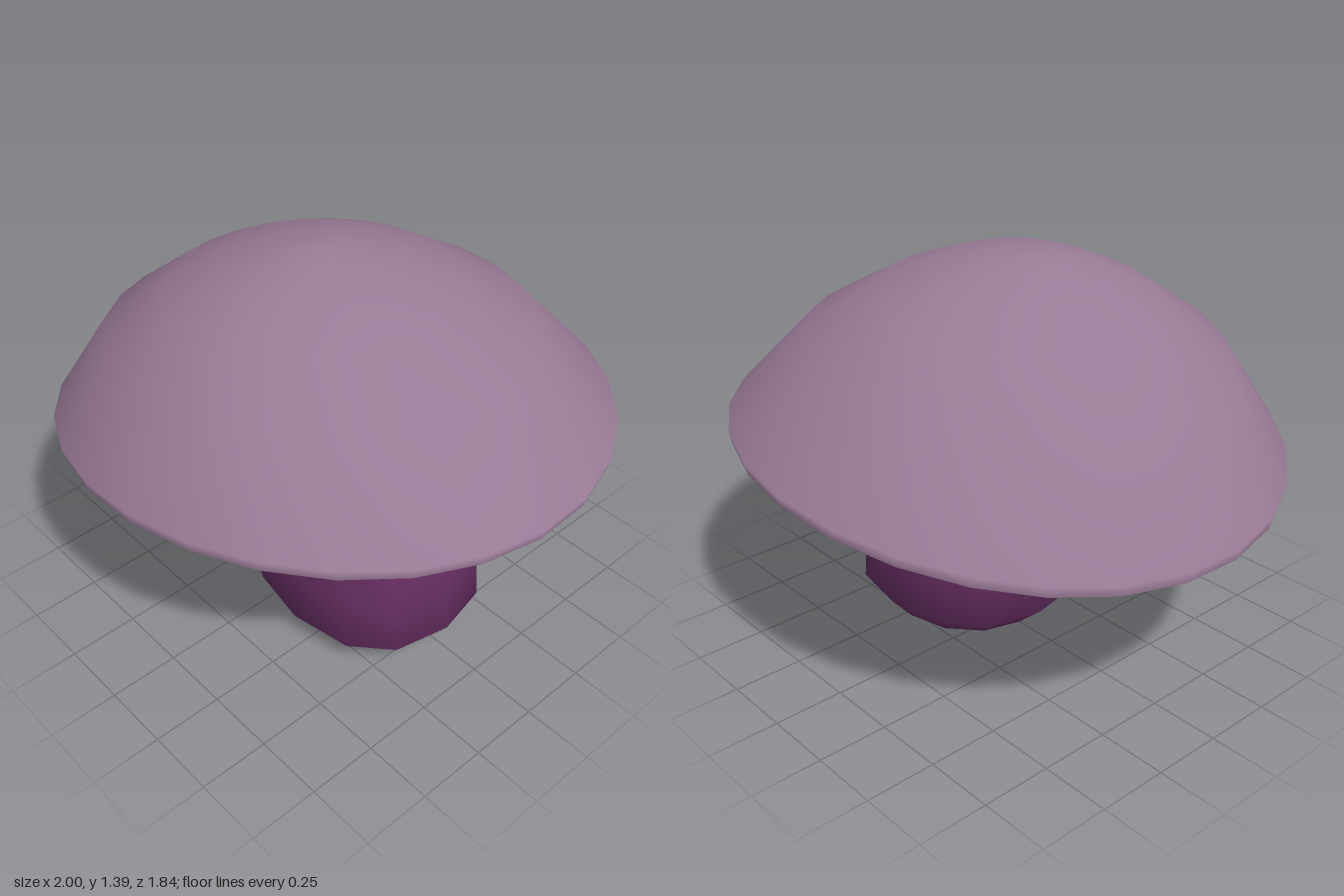
import * as THREE from 'three';

const capMaterial = new THREE.MeshStandardMaterial({ color: 0x9a7b97 });
capMaterial.name = 'dusty mauve';
const stemMaterial = new THREE.MeshStandardMaterial({ color: 0x642d60 });
stemMaterial.name = 'deep purple';

// Skins a stack of rings, listed from bottom to top on the outside; place(ring, angle) gives a point.
function loft(rings, sides, place, flat = false) {
  const points = [], index = [];
  for (const ring of rings)
    for (let i = 0; i < sides; i++) points.push(...place(ring, (i / sides) * Math.PI * 2));
  for (let r = 0; r < rings.length - 1; r++)
    for (let i = 0; i < sides; i++) {
      const a = r * sides + i, b = r * sides + (i + 1) % sides;
      index.push(a, a + sides, b, b, a + sides, b + sides);
    }
  let geometry = new THREE.BufferGeometry();
  geometry.setAttribute('position', new THREE.Float32BufferAttribute(points, 3));
  geometry.setIndex(index);
  if (flat) geometry = geometry.toNonIndexed();
  geometry.computeVertexNormals();
  return geometry;
}

// Cap rings [radius, height], leaned to one side and drooping along x
function capPoint([radius, height], angle) {
  const x = Math.sin(angle) * radius, z = -Math.cos(angle) * radius * 0.925;
  const rise = Math.max(0, height - 0.83);
  return [x - 0.11 * rise, height + 0.1 * x - 0.06 * x * x + 0.028 * z, z + 0.09 * rise];
}

// Stem rings [height, left edge, right edge, half depth, roundness]; lower roundness is squarer
function stemPoint([height, x0, x1, depth, roundness = 1], angle) {
  const soften = (v) => Math.sign(v) * Math.abs(v) ** roundness;
  return [(x0 + x1) / 2 + soften(Math.sin(angle)) * (x1 - x0) / 2, height, -soften(Math.cos(angle)) * depth];
}

export function createModel() {
  const model = new THREE.Group();
  model.name = 'mushroom';
  const add = (name, geometry, material) => {
    const mesh = new THREE.Mesh(geometry, material);
    mesh.name = name;
    model.add(mesh);
  };

  // Smooth dome with its narrow outer edge
  const dome = [[0.991, 0.79], [1, 0.83], [0.755, 1.112], [0.51, 1.254], [0.315, 1.334], [0.13, 1.378], [0, 1.384]];
  add('capDome', loft(dome, 27, capPoint), capMaterial);

  // Faceted lip and hollow underside
  add('capLip', loft([[0.88, 0.75], [0.991, 0.79]], 27, capPoint, true), capMaterial);
  add('capUnderside', loft([[0, 1.09], [0.88, 0.75]], 27, capPoint, true), capMaterial);

  // Leaning stem: dark rounded bulb below, pale neck above
  const bulb = [
    [0, 0.22, 0.22, 0], [0, -0.08, 0.52, 0.27], [0.1, -0.195, 0.61, 0.36, 0.82], [0.29, -0.22, 0.592, 0.36, 0.82],
    [0.45, -0.215, 0.54, 0.33, 0.92], [0.56, -0.225, 0.5, 0.317],
  ];
  const neck = [bulb[5], [0.72, -0.28, 0.435, 0.312], [1.06, -0.4, 0.32, 0.31]];
  add('stemBulb', loft(bulb, 12, stemPoint), stemMaterial);
  add('stemNeck', loft(neck, 12, stemPoint), capMaterial);

  return model;
}
